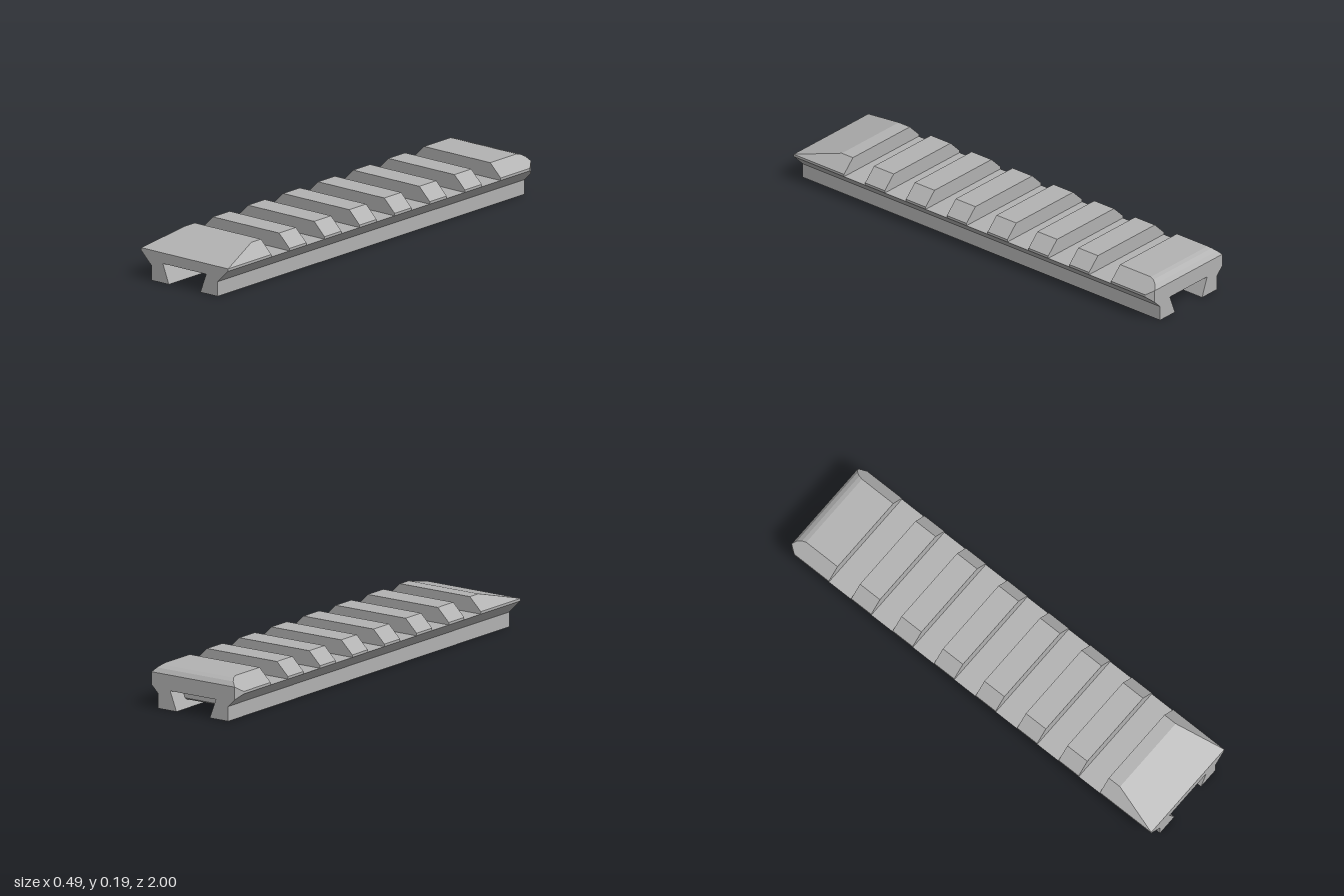
import * as THREE from 'three';

const HALF = 0.243, FLOOR = 0.122, SHOULDER = 0.133, TOP = 0.19;

// Joins matching counter-clockwise cross-sections, listed by rising z, into a capped solid.
function loft(sections) {
  const pos = [];
  const put = (s, i) => pos.push(s.ring[i][0], s.ring[i][1], s.z);
  const n = sections[0].ring.length;
  for (let k = 0; k + 1 < sections.length; k++) {
    const a = sections[k], b = sections[k + 1];
    for (let i = 0; i < n; i++) {
      const j = (i + 1) % n;
      put(a, i); put(a, j); put(b, j);
      put(a, i); put(b, j); put(b, i);
    }
  }
  const cap = (s, flip) => {
    const pts = s.ring.map(([x, y]) => new THREE.Vector2(x, y));
    for (const f of THREE.ShapeUtils.triangulateShape(pts, [])) {
      for (const i of flip ? [f[2], f[1], f[0]] : f) put(s, i);
    }
  };
  cap(sections[0], true);
  cap(sections[sections.length - 1], false);
  const geo = new THREE.BufferGeometry();
  geo.setAttribute('position', new THREE.Float32BufferAttribute(pos, 3));
  geo.computeVertexNormals();
  return geo;
}

// Completes a right-hand half outline with its mirror image.
const mirror = (half) => [...half, ...half.map(([x, y]) => [-x, y]).reverse()];

// Body section: dovetail channel below, flared flanks above; w is the half width.
const bodySection = (z, w = HALF) => ({
  z,
  ring: mirror([[0.121, 0.086], [0.088, 0], [0.185, 0], [0.185, 0.065],
    [w, 0.122 - (HALF - w) * 0.98], [w, FLOOR]]),
});

// Tooth section: sloping shoulders up to height h.
const toothSection = (z, h = TOP, w = HALF) => ({
  z,
  ring: mirror([[w, FLOOR], [w, Math.min(h, SHOULDER + (HALF - w) * 0.98)],
    [Math.min(w, HALF - (h - SHOULDER) * 1.018), h]]),
});

export function createModel() {
  const rail = new THREE.Group();
  rail.name = 'slottedRail';
  const metal = new THREE.MeshStandardMaterial({ color: 0xb2b2b2 });
  metal.name = 'grey metal';
  const add = (name, geo) => {
    const mesh = new THREE.Mesh(geo, metal);
    mesh.name = name;
    rail.add(mesh);
    return mesh;
  };

  // Long body with clipped rear corners
  add('body', loft([bodySection(-1, 0.22), bodySection(-0.967), bodySection(1)]));

  // Evenly spaced cross teeth
  for (let i = 0; i < 6; i++) {
    const z = 0.545 - i * 0.2285;
    add('tooth' + (i + 1), loft([toothSection(z - 0.055), toothSection(z + 0.055)]));
  }

  // Front tooth with long ramp
  add('frontRamp', loft([toothSection(0.718), toothSection(0.78), toothSection(1, SHOULDER)]));

  // Rear tooth with rounded top edge and clipped corners
  add('rearTooth', loft([
    toothSection(-1, 0.155, 0.22), toothSection(-0.986, 0.174, 0.23),
    toothSection(-0.967, 0.185), toothSection(-0.948), toothSection(-0.776),
  ]));

  // Chamfered cross bar inside the channel, near the rear
  const r = 0.0175, c = 0.0105;
  const ring = [[r, -c], [r, c], [c, r], [-c, r], [-r, c], [-r, -c], [-c, -r], [c, -r]];
  const bar = add('crossBar', loft([{ z: -0.11, ring }, { z: 0.11, ring }]));
  bar.rotation.y = Math.PI / 2;
  bar.position.set(0, 0.052, -0.9);

  return rail;
}
